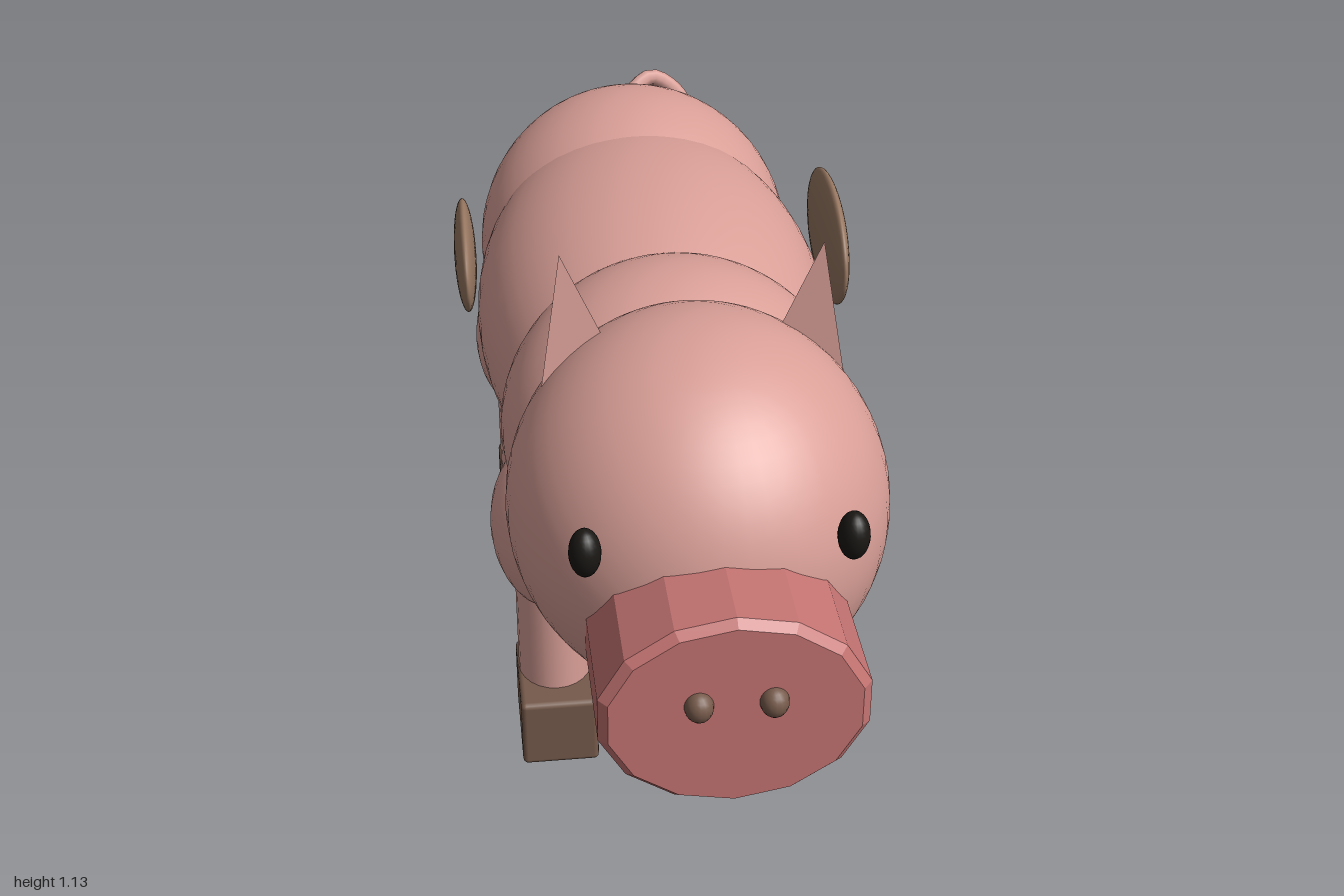
import * as THREE from 'three';
import { RoundedBoxGeometry } from 'three/addons/geometries/RoundedBoxGeometry.js';
import { ConvexGeometry } from 'three/addons/geometries/ConvexGeometry.js';

const paint = (color, flatShading = false) => new THREE.MeshStandardMaterial({ color, flatShading });

export function createModel() {
  const pig = new THREE.Group();
  pig.name = 'pig';
  const skin = paint(0xd99f97);
  const skinFlat = paint(0xd99f97, true);
  const snoutPink = paint(0xc47472, true);
  const hoofBrown = paint(0x765a4b);
  const spotBrown = paint(0x967660);
  const black = paint(0x1a1714);

  const add = (name, geometry, material, x = 0, y = 0, z = 0) => {
    const mesh = new THREE.Mesh(geometry, material);
    mesh.name = name;
    mesh.position.set(x, y, z);
    pig.add(mesh);
    return mesh;
  };
  // Ellipsoid with centre [x, y, z] and radii [rx, ry, rz]
  const blob = (name, material, center, radii, segments = 40) => {
    const mesh = add(name, new THREE.SphereGeometry(1, segments, Math.round(segments * 0.7)), material, ...center);
    mesh.scale.set(...radii);
    return mesh;
  };

  // Trunk of overlapping ellipsoids
  blob('head', skin, [0, 0.7, 0.5], [0.325, 0.333, 0.345], 48);
  blob('shoulders', skin, [0, 0.67, 0.2], [0.32, 0.31, 0.3], 48);
  blob('belly', skin, [0, 0.67, -0.22], [0.345, 0.31, 0.6], 48);
  blob('rump', skin, [0, 0.66, -0.57], [0.325, 0.325, 0.365], 48);

  // Faceted oval snout with a small bevel at the front rim
  const rim = [[0, -0.18], [1, -0.18], [1, 0.155], [0.93, 0.17], [0, 0.17]].map(p => new THREE.Vector2(...p));
  const snoutShape = new THREE.LatheGeometry(rim, 14);
  snoutShape.rotateX(Math.PI / 2);
  snoutShape.rotateZ(Math.PI);
  add('snout', snoutShape, snoutPink, 0, 0.613, 0.805).scale.set(0.217, 0.177, 1);

  for (const side of [-1, 1]) {
    const label = side > 0 ? 'left' : 'right';
    blob(`${label}Nostril`, hoofBrown, [side * 0.058, 0.638, 0.975], [0.023, 0.026, 0.025], 16);
    blob(`${label}Eye`, black, [side * 0.212, 0.795, 0.775], [0.026, 0.042, 0.03], 20);

    // Pointed three-sided ear
    const corners = [[0.218, 1.127, 0.41], [0.2, 0.895, 0.33], [0.255, 0.895, 0.435], [0.15, 0.975, 0.41]];
    add(`${label}Ear`, new ConvexGeometry(corners.map(([x, y, z]) => new THREE.Vector3(side * x, y, z))), skinFlat);

    // Legs: thigh, shin and hoof
    for (const [end, z, thighY] of [['Front', 0.21, 0.475], ['Back', -0.53, 0.46]]) {
      blob(`${label}${end}Thigh`, skin, [side * 0.232, thighY, z], [0.116, 0.175, 0.136], 32);
      add(`${label}${end}Shin`, new THREE.CylinderGeometry(1, 1, 0.36, 24), skin, side * 0.237, 0.28, z)
        .scale.set(0.07, 1, 0.08);
      add(`${label}${end}Hoof`, new RoundedBoxGeometry(0.146, 0.143, 0.212, 2, 0.01), hoofBrown,
        side * 0.237, 0.0715, z + 0.023);
    }
  }

  // Flat oval patches on the flanks
  blob('leftSpot', spotBrown, [0.36, 0.802, -0.262], [0.024, 0.12, 0.194]);
  blob('rightSpot', spotBrown, [-0.362, 0.68, -0.5], [0.023, 0.102, 0.171]);

  // Curly tail with a rounded tip
  const curl = [[-0.01, 0.78, -0.86], [0.0, 0.81, -0.9], [0.08, 0.87, -0.965], [0.152, 0.81, -0.955],
    [0.12, 0.715, -0.925], [0.06, 0.71, -0.94], [0.035, 0.755, -0.98]];
  const path = new THREE.CatmullRomCurve3(curl.map(p => new THREE.Vector3(...p)));
  add('tail', new THREE.TubeGeometry(path, 28, 0.018, 8), skin);
  blob('tailTip', skin, curl[curl.length - 1], [0.018, 0.018, 0.018], 10);

  return pig;
}
